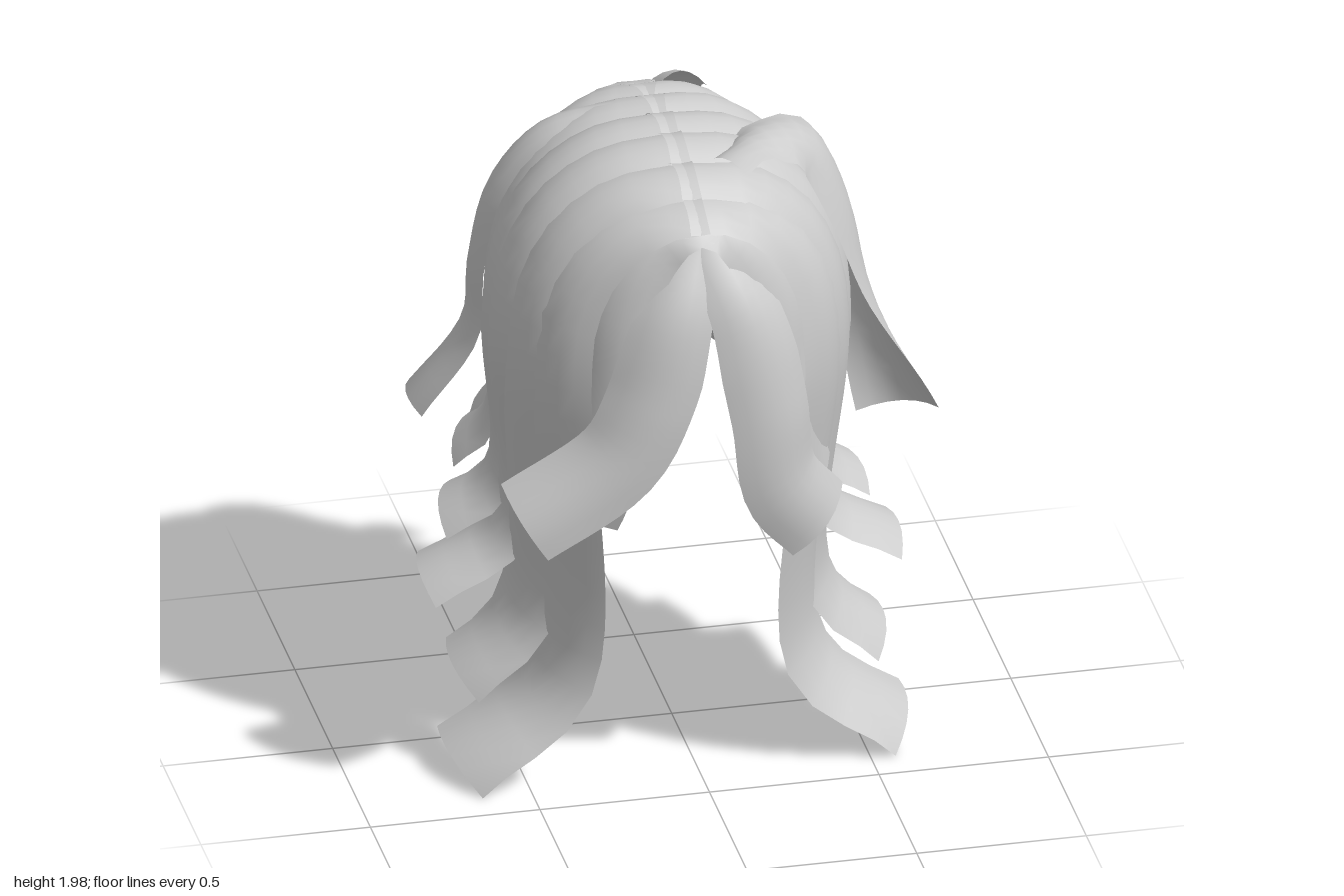
import * as THREE from 'three';

const PART_X = -0.05; // the parting sits slightly off centre
const V = (x, y, z) => new THREE.Vector3(x, y, z);

export function createModel() {
  const model = new THREE.Group();
  model.name = 'hair';
  const hairGrey = new THREE.MeshStandardMaterial({ color: 0xcccccc, side: THREE.DoubleSide });
  hairGrey.name = 'hairGrey';

  // One lock: a strip with an arched section swept along a path.
  // n0 and n1 are the horizontal directions its face looks at the root and tip.
  function lock(name, points, width, n0, n1 = n0, bulge = 0.045) {
    const path = new THREE.CatmullRomCurve3(points, false, 'centripetal');
    const geo = new THREE.PlaneGeometry(1, 1, 6, 22);
    const pos = geo.attributes.position;
    for (let i = 0; i < pos.count; i++) {
      const u = pos.getX(i), v = 0.5 - pos.getY(i);
      const t = path.getTangentAt(v);
      const n = n0.clone().lerp(n1, v * v);
      const right = V(n.z, 0, -n.x).normalize();
      right.addScaledVector(t, -right.dot(t)).normalize();
      const out = V().crossVectors(t, right).normalize();
      const w = width * (0.7 + 0.3 * Math.min(1, v * 2.5));
      const p = path.getPointAt(v)
        .addScaledVector(right, u * w)
        .addScaledVector(out, bulge * (0.3 - 4 * u * u));
      pos.setXYZ(i, p.x, p.y, p.z);
    }
    geo.computeVertexNormals();
    const mesh = new THREE.Mesh(geo, hairGrey);
    mesh.name = name;
    model.add(mesh);
  }

  // Height of the crown along the parting
  const crown = z => 1.4 + 0.585 * Math.pow(1 - Math.pow(Math.abs(z - 0.08) / 0.58, 2.5), 0.4);

  // Mirrored locks from the parting over the head to an outward flick:
  // [name, root z, rim [x, z], bend [x, y, z], tip [x, y, z], width]
  const pairs = [
    ['templeLock', 0.48, [0.28, 0.52], [0.32, 1.05, 0.49], [0.35, 0.95, 0.46], 0.26],
    ['longFrontLock', 0.45, [0.42, 0.41], [0.395, 0.34, 0.29], [0.665, 0.085, 0.27], 0.31],
    ['longSideLock', 0.34, [0.48, 0.30], [0.46, 0.50, 0.16], [0.63, 0.31, 0.13], 0.29],
    ['sideLock', 0.20, [0.515, 0.17], [0.48, 0.71, 0.02], [0.70, 0.55, -0.01], 0.29],
    ['midSideLock', 0.08, [0.515, 0.03], [0.48, 0.81, -0.10], [0.61, 0.695, -0.15], 0.29],
    ['rearSideLock', -0.05, [0.475, -0.14], [0.45, 0.95, -0.24], [0.52, 0.84, -0.31], 0.28],
    ['rearCornerLock', -0.17, [0.39, -0.30], [0.37, 1.02, -0.36], [0.42, 0.89, -0.43], 0.28],
    ['backLock', -0.27, [0.25, -0.43], [0.23, 1.08, -0.46], [0.23, 0.94, -0.55], 0.27],
    ['backCentreLock', -0.33, [0.09, -0.475], [0.09, 1.08, -0.48], [0.10, 0.97, -0.53], 0.24],
  ];
  for (const [name, z0, [rx, rz], bend, tip, width] of pairs) {
    for (const s of [1, -1]) {
      const pts = [0, 22, 45, 68, 90].map(deg => {
        const a = THREE.MathUtils.degToRad(deg);
        const k = Math.pow(Math.sin(a), 0.87);
        const c = Math.pow(Math.max(0, Math.cos(a)), 0.87);
        // the root overlaps the parting a little
        const x = rx * k - 0.03 * (1 - k);
        return V(PART_X + s * x, 1.36 + (crown(z0) - 1.36) * c, z0 + (rz - z0) * k);
      });
      for (const [x, y, z] of [bend, tip]) pts.push(V(PART_X + s * x, y, z));
      const n = V(s * rx / 0.26, 0, (rz - 0.08) / 0.34).normalize();
      lock(name + (s > 0 ? 'Left' : 'Right'), pts, width, n);
    }
  }

  // Fringe, swept to both sides of a gap
  lock('fringeRight', [V(-0.07, 1.82, 0.51), V(-0.14, 1.62, 0.61), V(-0.22, 1.36, 0.635),
    V(-0.31, 1.19, 0.63), V(-0.585, 1.00, 0.59)], 0.26, V(-0.2, 0, 1), V(-0.45, 0, 0.9));
  lock('fringeLeft', [V(-0.01, 1.82, 0.51), V(0.08, 1.62, 0.61), V(0.15, 1.30, 0.64),
    V(0.19, 1.05, 0.62), V(0.315, 0.885, 0.56)], 0.26, V(0.3, 0, 1), V(0.5, 0, 0.9));

  // Loose locks lying over the others; the left one twists towards its tip
  lock('looseLockLeft', [V(0.07, 1.955, 0.31), V(0.20, 1.975, 0.22), V(0.35, 1.925, 0.16),
    V(0.465, 1.70, 0.135), V(0.53, 1.40, 0.11), V(0.64, 1.00, 0.10)], 0.26,
    V(1, 0, 0.5), V(0.5, 0, -0.85));
  lock('looseLockRight', [V(-0.16, 1.96, -0.09), V(-0.36, 1.89, -0.14), V(-0.50, 1.70, -0.19),
    V(-0.555, 1.45, -0.21), V(-0.57, 1.24, -0.23), V(-0.72, 0.985, -0.30)], 0.19,
    V(-1, 0, -0.3), V(-1, 0, 0));
  lock('looseLockBack', [V(0.07, 1.95, -0.25), V(0.07, 1.88, -0.38), V(0.06, 1.72, -0.485),
    V(0.06, 1.45, -0.52), V(0.06, 1.30, -0.54), V(0.09, 1.12, -0.635)], 0.21,
    V(0.1, 0, -1), V(0.5, 0, -1));

  // Short cap closing the crown beneath the locks
  const cap = new THREE.Mesh(new THREE.SphereGeometry(1, 32, 10, 0, Math.PI * 2, 0, 0.8), hairGrey);
  cap.name = 'crownCap';
  cap.scale.set(0.45, 0.53, 0.47);
  cap.position.set(PART_X, 1.4, 0.08);
  model.add(cap);

  // Stand on the ground, centred
  const box = new THREE.Box3().setFromObject(model, true);
  const mid = box.getCenter(V());
  model.position.set(-mid.x, -box.min.y, -mid.z);
  return model;
}
